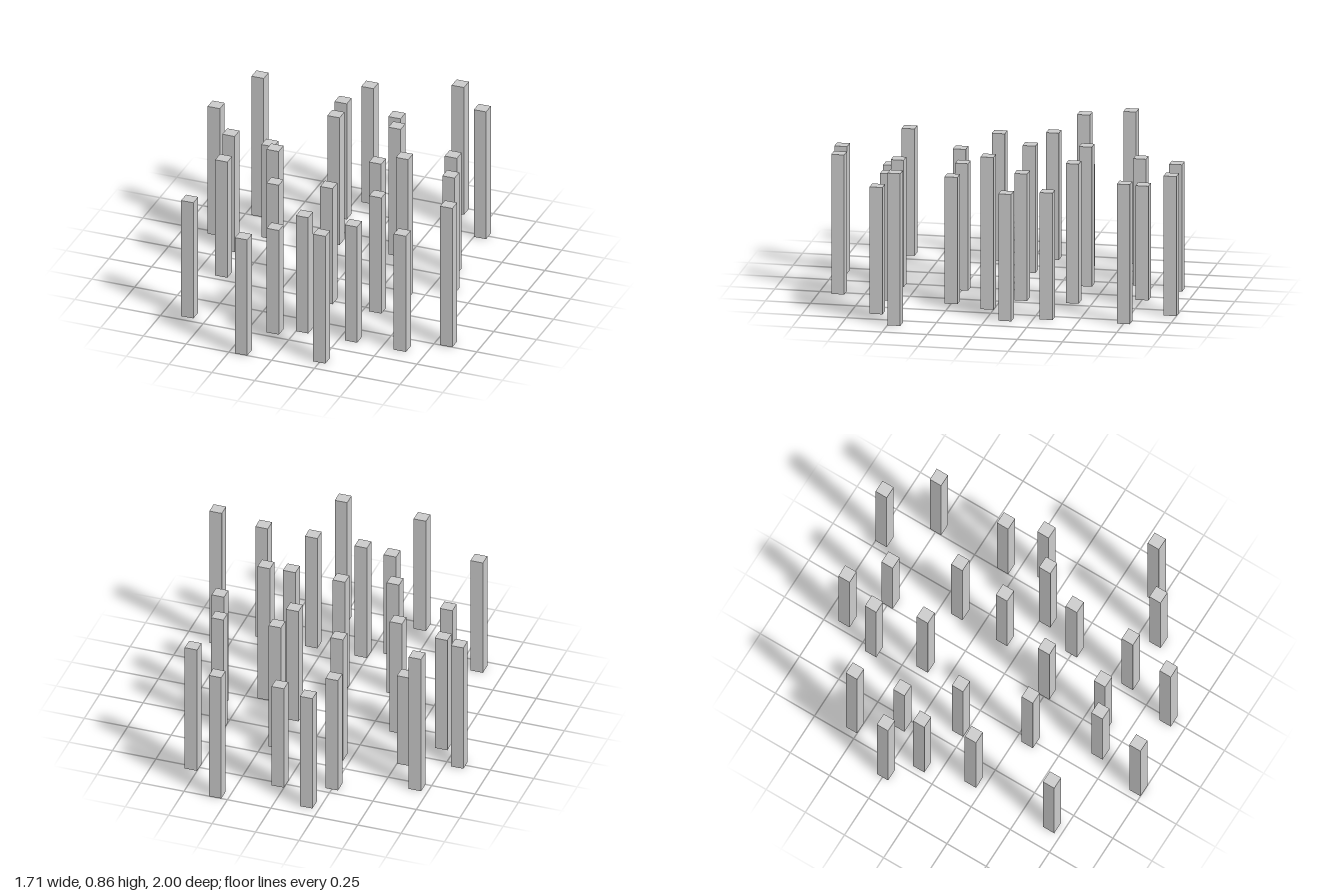
import * as THREE from 'three';

// The layout sits on a grid of square cells; one cell is the thickness of a post.
const CELL = 1 / 14;

// Each post: [column, row, height], in cells from the centre, back to front.
const POSTS = [
  [4, -14, 11], [-3, -13, 10],
  [0, -11, 9], [7, -11, 11], [-4, -10, 10],
  [-10, -8, 12], [-3, -6, 11], [2, -6, 11],
  [-8, -5, 8], [7, -5, 10], [-12, -4, 11],
  [-10, -2, 10], [2, -2, 10], [8, -2, 10],
  [-6, -1, 10], [5, 0, 12], [-9, 2, 10],
  [0, 3, 10], [4, 3, 10], [-4, 4, 10],
  [11, 6, 12], [0, 8, 10], [4, 8, 10], [8, 8, 10],
  [-9, 9, 10], [-2, 9, 9],
  [3, 12, 11], [-3, 13, 10],
];

export function createModel() {
  const group = new THREE.Group();
  group.name = 'postField';
  const material = new THREE.MeshStandardMaterial({ color: 0xcccccc, flatShading: true });

  // Unit post with its foot at the origin, stretched to each height
  const geometry = new THREE.BoxGeometry(CELL, CELL, CELL).translate(0, CELL / 2, 0);

  POSTS.forEach(([column, row, height], i) => {
    const post = new THREE.Mesh(geometry, material);
    post.name = `post${i + 1}`;
    post.position.set((column + 0.5) * CELL, 0, (row + 0.5) * CELL);
    post.scale.y = height;
    group.add(post);
  });
  return group;
}
